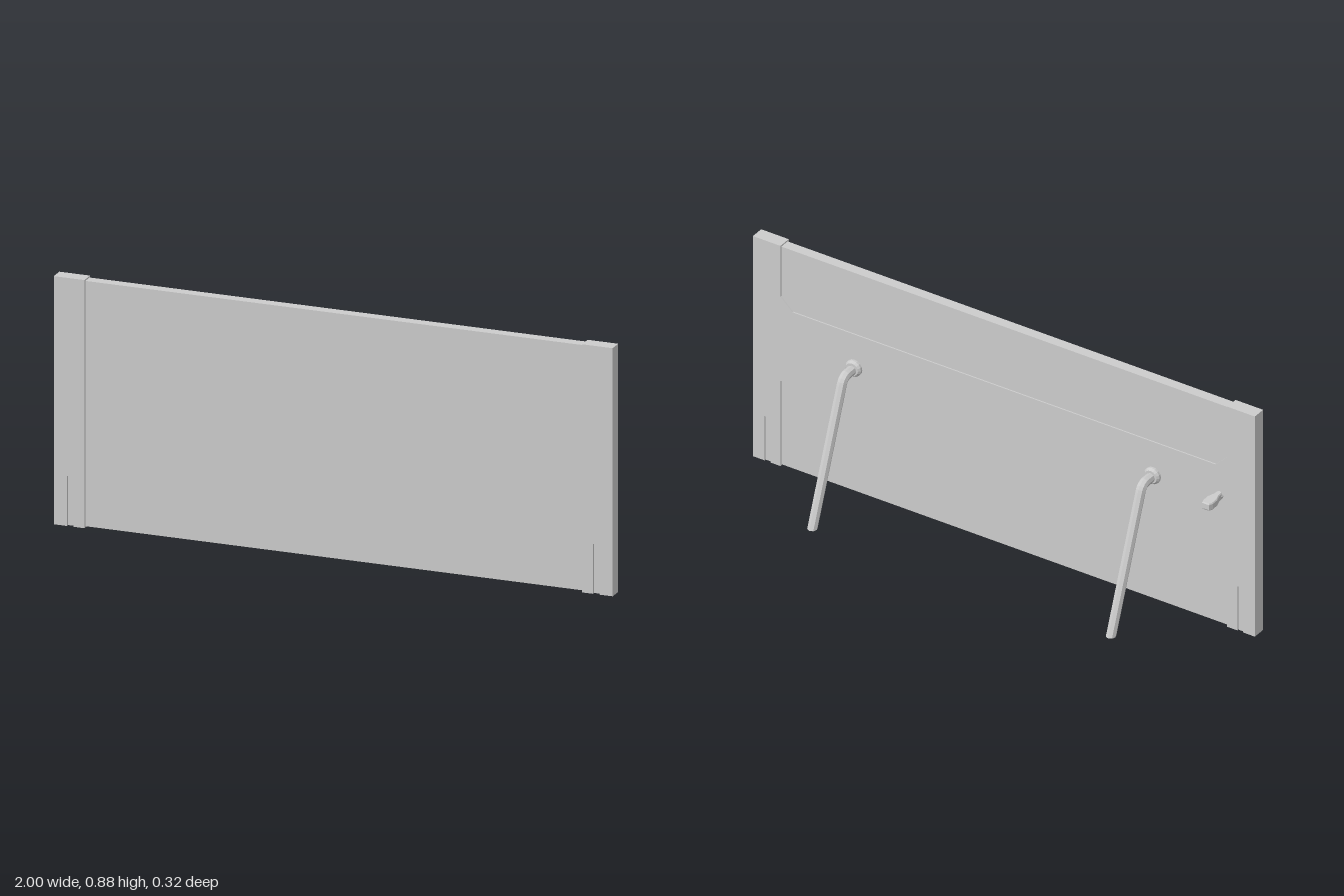
import * as THREE from 'three';

const material = new THREE.MeshStandardMaterial({ color: 0xcccccc, flatShading: true });

function add(parent, name, geometry) {
  const mesh = new THREE.Mesh(geometry, material);
  mesh.name = name;
  parent.add(mesh);
  return mesh;
}

// Box given by its limits
function block(parent, name, x0, x1, y0, y1, z0, z1) {
  const mesh = add(parent, name, new THREE.BoxGeometry(x1 - x0, y1 - y0, z1 - z0));
  mesh.position.set((x0 + x1) / 2, (y0 + y1) / 2, (z0 + z1) / 2);
}

// Flat outline in the xy plane, extruded from z0 to z1
function plate(parent, name, points, z0, z1) {
  const shape = new THREE.Shape(points.map(([x, y]) => new THREE.Vector2(x, y)));
  const mesh = add(parent, name, new THREE.ExtrudeGeometry(shape, { depth: z1 - z0, bevelEnabled: false }));
  mesh.position.z = z0;
}

const BOTTOM = 0.005, TOP = 0.875, INNER = 0.89;
// Lower edge of a stile, from inside to outside, with the narrow slot
const slotEdge = [[INNER, BOTTOM], [0.93, BOTTOM], [0.93, 0.18], [0.953, 0.18], [0.953, BOTTOM], [1, BOTTOM]];

// Bent round support leg, cut level at the floor
function createLeg(x) {
  const leg = new THREE.Group();
  leg.name = 'supportLeg';
  leg.position.x = x;
  const r = 0.0175, sides = 8, steps = 10;
  const foot = new THREE.Vector3(0, 0, -0.143);
  const path = new THREE.CurvePath();
  const a = new THREE.Vector3(0, 0.498, 0.108), b = new THREE.Vector3(0, 0.498, 0.065);
  const corner = new THREE.Vector3(0, 0.498, 0.043);
  const dir = foot.clone().sub(corner).normalize();
  const c = corner.clone().addScaledVector(dir, 0.025);
  const bend = new THREE.QuadraticBezierCurve3(b, corner, c).getPoints(steps);
  [a, ...bend].forEach((p, i, all) => path.add(new THREE.LineCurve3(p, all[i + 1] || foot)));
  const segments = 60;
  const tube = new THREE.TubeGeometry(path, segments, r, sides);
  const pos = tube.attributes.position;
  for (let i = segments * (sides + 1); i < pos.count; i++) {
    const v = new THREE.Vector3().fromBufferAttribute(pos, i);
    v.addScaledVector(dir, -v.y / dir.y);
    pos.setXYZ(i, v.x, v.y, v.z);
  }
  add(leg, 'legTube', tube);
  const cap = add(leg, 'legFoot', new THREE.CircleGeometry(r, sides).rotateX(Math.PI / 2));
  cap.scale.z = -1 / dir.y;
  cap.position.copy(foot);

  // Mounting flange
  const profile = [[0, 0], [0.031, 0], [0.031, 0.008], [0.024, 0.016], [0, 0.016]];
  const flange = add(leg, 'legFlange', new THREE.LatheGeometry(profile.map(p => new THREE.Vector2(...p)), 16));
  flange.rotation.x = -Math.PI / 2;
  flange.position.set(0, 0.5, 0.11);
  return leg;
}

export function createModel() {
  const group = new THREE.Group();

  // Main panel
  block(group, 'panel', -INNER, INNER, 0.01, 0.87, 0.115, 0.153);

  // Side stiles: solid core with a slotted front layer
  for (const s of [-1, 1]) {
    const stile = new THREE.Group();
    stile.name = s > 0 ? 'leftStile' : 'rightStile';
    block(stile, 'stileCore', Math.min(s * INNER, s), Math.max(s * INNER, s), BOTTOM, TOP, 0.116, 0.15);
    const outline = [...slotEdge, [1, TOP], [INNER, TOP]].map(([x, y]) => [s * x, y]);
    plate(stile, 'stileFront', outline, 0.15, 0.16);
    group.add(stile);
  }

  // H-shaped back frame with chamfered inner corners
  const half = [[0.843, 0.385], [INNER, 0.34], ...slotEdge, [1, TOP], [INNER, TOP], [INNER, 0.675], [0.843, 0.63]];
  const mirrored = half.map(([x, y]) => [-x, y]).reverse();
  plate(group, 'backFrame', [...half, ...mirrored], 0.11, 0.116);

  // Support legs
  for (const x of [-0.595, 0.595]) group.add(createLeg(x));

  // Door handle with its rosette
  const handle = new THREE.Group();
  handle.name = 'handle';
  handle.position.set(-0.86, 0.515, 0.11);
  const right = [[0.007, 0], [0.009, 0.02], [0.017, 0.045], [0.017, 0.07], [0.012, 0.082]];
  const outline = [...right, ...right.map(([x, y]) => [-x, y]).reverse()];
  const grip = add(handle, 'handleGrip', new THREE.ExtrudeGeometry(
    new THREE.Shape(outline.map(p => new THREE.Vector2(...p))),
    { depth: 0.02, bevelThickness: 0.004, bevelSize: 0.003, bevelSegments: 1 }));
  grip.rotation.x = -Math.PI / 2;
  grip.position.y = -0.01;
  const rosette = add(handle, 'handleRosette', new THREE.CylinderGeometry(0.011, 0.015, 0.008, 12));
  rosette.rotation.x = -Math.PI / 2;
  rosette.position.z = -0.004;
  group.add(handle);

  return group;
}
